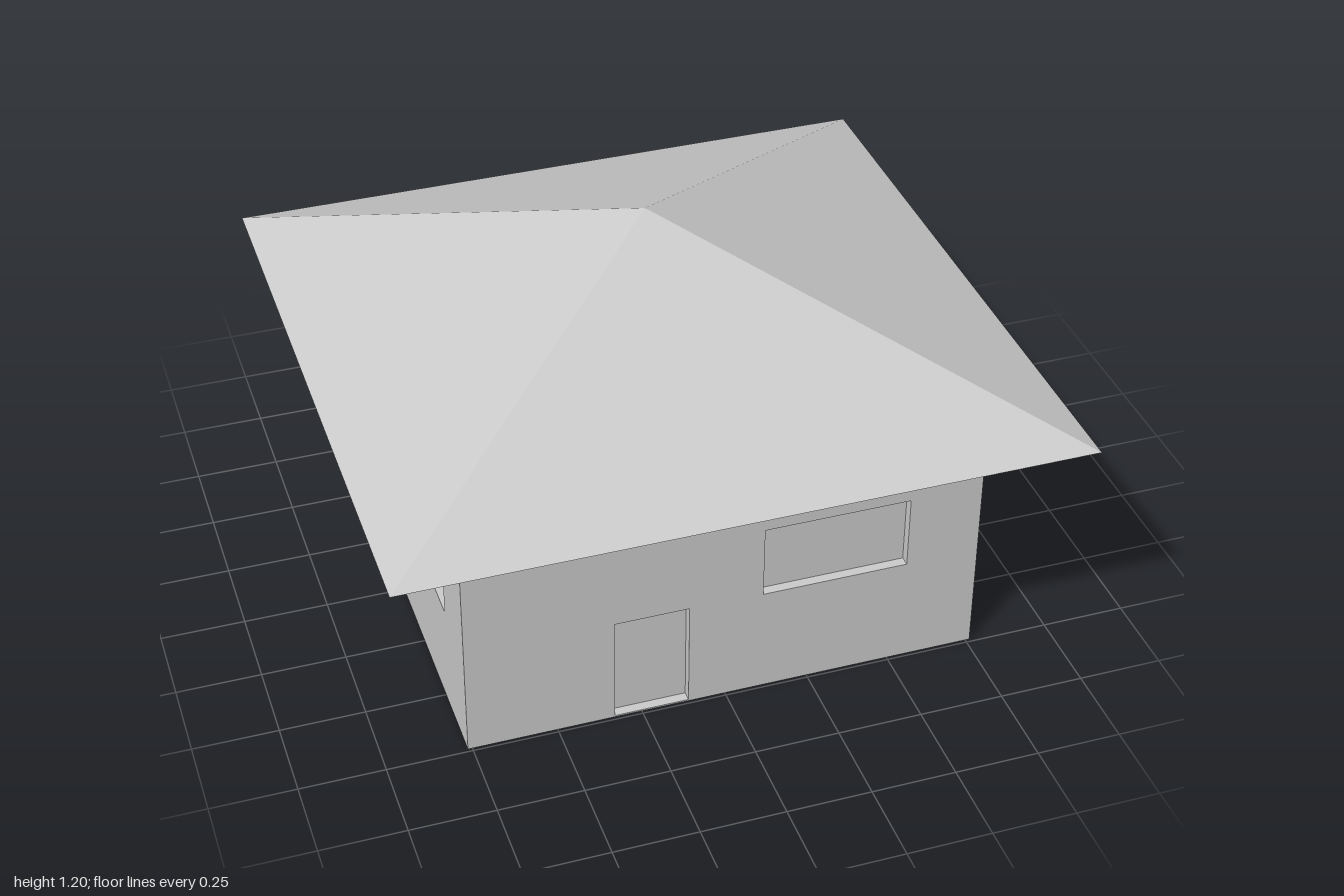
import * as THREE from 'three';

const HALF_X = 0.763, HALF_Z = 0.74, WALL_H = 0.79, RECESS = 0.03;
const ROOF_X = 1, ROOF_Z = 0.967, ROOF_H = 0.41;

const grey = new THREE.MeshStandardMaterial({ color: 0xcccccc, flatShading: true });

function addMesh(parent, name, geometry) {
  const mesh = new THREE.Mesh(geometry, grey);
  mesh.name = name;
  parent.add(mesh);
  return mesh;
}

// Rectangle path, centred on u, from y0 to y1
function rect(PathType, u, w, y0, y1) {
  return new PathType([[-1, y0], [1, y0], [1, y1], [-1, y1]]
    .map(([s, y]) => new THREE.Vector2(u + s * w / 2, y)));
}

// Open box facing inwards: back pane and four reveals
function recessGeometry({ u, w, y0, y1 }) {
  const g = new THREE.BoxGeometry(w, y1 - y0, RECESS);
  g.scale(1, 1, -1); // mirrored, so the faces turn inwards
  g.setIndex(Array.from(g.index.array).slice(0, 30)); // drop the outer face
  g.clearGroups();
  g.computeVertexNormals();
  return g.translate(u, (y0 + y1) / 2, -RECESS / 2);
}

// One wall with recessed openings, turned to its side of the house
function buildWall(name, halfWidth, distance, angle, openings) {
  const wall = new THREE.Group();
  wall.name = name;
  const shape = rect(THREE.Shape, 0, halfWidth * 2, 0, WALL_H);
  for (const o of openings) {
    shape.holes.push(rect(THREE.Path, o.u, o.w, o.y0, o.y1));
    addMesh(wall, o.name, recessGeometry(o));
  }
  addMesh(wall, name + 'Face', new THREE.ShapeGeometry(shape));
  wall.rotation.y = angle;
  wall.position.set(Math.sin(angle) * distance, 0, Math.cos(angle) * distance);
  return wall;
}

const windowAt = (u) => ({ name: 'window', u, w: 0.435, y0: 0.338, y1: 0.566 });
const door = { name: 'door', u: -0.22, w: 0.22, y0: 0.005, y1: 0.342 };

export function createModel() {
  const house = new THREE.Group();
  house.name = 'house';

  // Walls
  house.add(
    buildWall('frontWall', HALF_X, HALF_Z, 0, [door, windowAt(0.327)]),
    buildWall('leftWall', HALF_Z, HALF_X, Math.PI / 2, [windowAt(-0.32), windowAt(0.32)]),
    buildWall('backWall', HALF_X, HALF_Z, Math.PI, [windowAt(0.327)]),
    buildWall('rightWall', HALF_Z, HALF_X, -Math.PI / 2, [windowAt(0.32)]),
  );

  // Underside of the house
  addMesh(house, 'floor', new THREE.PlaneGeometry(HALF_X * 2, HALF_Z * 2).rotateX(Math.PI / 2));

  // Pyramid roof with overhanging eaves and a closed soffit
  const roof = new THREE.ConeGeometry(Math.SQRT2, ROOF_H, 4)
    .rotateY(Math.PI / 4)
    .scale(ROOF_X, 1, ROOF_Z)
    .translate(0, WALL_H + ROOF_H / 2, 0)
    .toNonIndexed();
  roof.computeVertexNormals();
  addMesh(house, 'roof', roof);

  return house;
}
